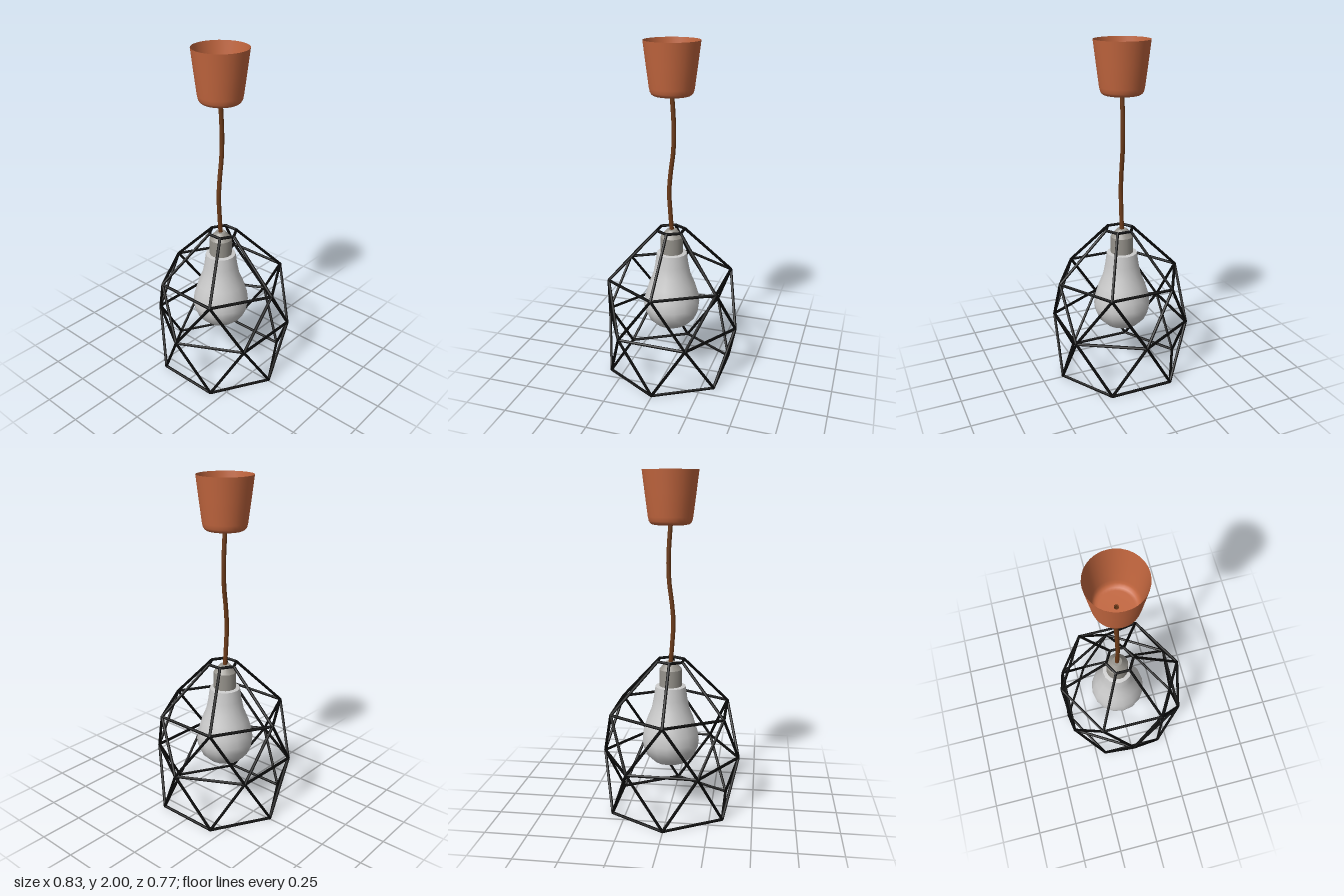
import * as THREE from 'three';

const V = (x, y, z) => new THREE.Vector3(x, y, z);
const mat = (color, side = THREE.FrontSide) => new THREE.MeshStandardMaterial({ color, side });
const AXIS_Z = -0.017; // the hanging parts sit slightly behind the cage centre

function add(parent, name, geometry, material) {
  const mesh = new THREE.Mesh(geometry, material);
  mesh.name = name;
  parent.add(mesh);
  return mesh;
}

function lathe(points, segments) {
  return new THREE.LatheGeometry(points.map(([r, y]) => new THREE.Vector2(r, y)), segments);
}

// Six corners of a horizontal hexagon
function hexagon(radius, y, degrees) {
  return Array.from({ length: 6 }, (_, i) => {
    const a = THREE.MathUtils.degToRad(degrees + i * 60);
    return V(radius * Math.cos(a), y, radius * Math.sin(a));
  });
}

function createCage() {
  const cage = new THREE.Group();
  cage.name = 'wireCage';
  const black = mat(0x0a0a0a);
  const r = 0.0085;

  const bar = (name, a, b) => {
    const dir = b.clone().sub(a);
    const mesh = add(cage, name, new THREE.CylinderGeometry(r, r, dir.length(), 8), black);
    mesh.position.copy(a).add(b).multiplyScalar(0.5);
    mesh.quaternion.setFromUnitVectors(V(0, 1, 0), dir.normalize());
  };

  const bottom = hexagon(0.377, 0.009, 30);
  const middle = hexagon(0.408, 0.327, 1.2);
  const upper = hexagon(0.377, 0.622, 30);
  const top = hexagon(0.085, 0.913, 30);

  // Rings with rounded joints
  const joint = new THREE.SphereGeometry(r, 8, 6);
  for (const [name, ring] of Object.entries({ bottom, middle, upper, top })) {
    ring.forEach((p, i) => {
      bar(name + 'RingBar', p, ring[(i + 1) % 6]);
      add(cage, name + 'Joint', joint, black).position.copy(p);
    });
  }

  // Zigzag struts around the middle ring and straight struts to the crown
  for (let i = 0; i < 6; i++) {
    const next = middle[(i + 1) % 6];
    for (const m of [middle[i], next]) {
      bar('lowerStrut', bottom[i], m);
      bar('upperStrut', upper[i], m);
    }
    bar('crownStrut', upper[i], top[i]);
  }
  return cage;
}

export function createModel() {
  const model = new THREE.Group();
  model.name = 'pendantLamp';
  model.add(createCage());

  const hanging = new THREE.Group();
  hanging.name = 'hangingParts';
  hanging.position.z = AXIS_Z;
  model.add(hanging);

  // Ceiling cup, open at the top
  add(hanging, 'ceilingCup', lathe([
    [0.012, 1.7], [0.09, 1.7], [0.105, 1.703], [0.115, 1.71], [0.122, 1.722],
    [0.127, 1.745], [0.143, 1.87], [0.159, 2],
  ], 32), mat(0xc4673f, THREE.DoubleSide));

  // Wavy cord
  const path = new THREE.CatmullRomCurve3([
    V(0, 1.705, 0), V(0.007, 1.61, 0), V(0.012, 1.5, 0), V(0.008, 1.38, 0),
    V(-0.008, 1.25, 0), V(-0.016, 1.14, 0), V(-0.011, 1.04, 0), V(0, 0.9, 0),
  ]);
  add(hanging, 'cord', new THREE.TubeGeometry(path, 40, 0.013, 10), mat(0x6b3a18, THREE.DoubleSide));

  // Socket: tapered cap above a straight sleeve
  const grey = mat(0x96938c, THREE.DoubleSide);
  add(hanging, 'socketSleeve', new THREE.CylinderGeometry(0.067, 0.067, 0.11, 16, 1, true), grey)
    .position.y = 0.81;
  add(hanging, 'socketCap', new THREE.CylinderGeometry(0.03, 0.067, 0.045, 16), grey)
    .position.y = 0.8875;

  // Light bulb
  const glass = mat(0xcccccc, THREE.DoubleSide);
  add(hanging, 'bulb', lathe([
    [0, 0.275], [0.055, 0.283], [0.105, 0.303], [0.143, 0.34], [0.165, 0.39],
    [0.17, 0.43], [0.163, 0.485], [0.14, 0.56], [0.113, 0.625], [0.1, 0.69], [0.09, 0.762],
  ], 16), glass);
  add(hanging, 'bulbShoulder', lathe([[0.09, 0.762], [0.066, 0.766]], 16), glass);

  return model;
}
